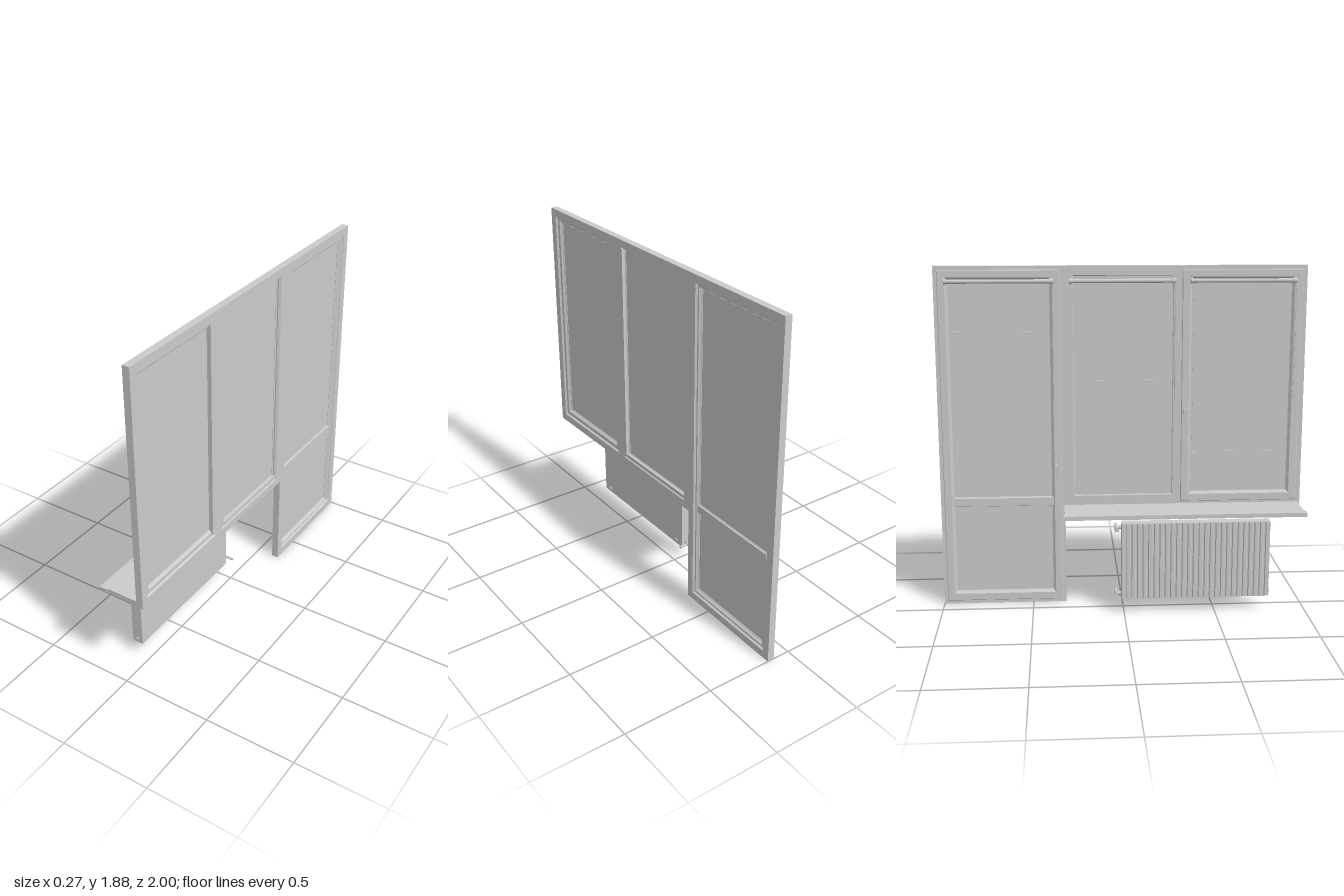
import * as THREE from 'three';

const mat = new THREE.MeshStandardMaterial({ color: 0xcccccc, flatShading: true });
const smooth = new THREE.MeshStandardMaterial({ color: 0xcccccc });
const thin = new THREE.MeshStandardMaterial({ color: 0xcccccc, side: THREE.DoubleSide });

function add(parent, name, geometry, material = mat) {
  const mesh = new THREE.Mesh(geometry, material);
  mesh.name = name;
  parent.add(mesh);
  return mesh;
}

function group(parent, name) {
  const g = new THREE.Group();
  g.name = name;
  parent.add(g);
  return g;
}

// Box given by its limits on each axis
function box(parent, name, x0, x1, y0, y1, z0, z1, material = mat) {
  const m = add(parent, name, new THREE.BoxGeometry(x1 - x0, y1 - y0, z1 - z0), material);
  m.position.set((x0 + x1) / 2, (y0 + y1) / 2, (z0 + z1) / 2);
  return m;
}

// Cylinder along a chosen axis
function rod(parent, name, axis, r, len, x, y, z, sides = 16) {
  const g = new THREE.CylinderGeometry(r, r, len, sides);
  if (axis === 'x') g.rotateZ(Math.PI / 2);
  if (axis === 'z') g.rotateX(Math.PI / 2);
  const m = add(parent, name, g, smooth);
  m.position.set(x, y, z);
  return m;
}

// Mitred rectangular frame: a closed profile of [inset, x] swept round the rectangle
function mitredFrame(parent, name, z0, z1, y0, y1, profile) {
  const corners = [[z0, y0, 1, 1], [z1, y0, -1, 1], [z1, y1, -1, -1], [z0, y1, 1, -1]];
  const pos = [];
  const index = [];
  const n = profile.length;
  for (const [z, y, dz, dy] of corners)
    for (const [inset, x] of profile) pos.push(x, y + dy * inset, z + dz * inset);
  for (let k = 0; k < 4; k++)
    for (let i = 0; i < n; i++) {
      const k2 = (k + 1) % 4, j = (i + 1) % n;
      const a = k * n + i, b = k2 * n + i, c = k2 * n + j, d = k * n + j;
      index.push(a, b, c, a, c, d);
    }
  const g = new THREE.BufferGeometry();
  g.setAttribute('position', new THREE.Float32BufferAttribute(pos, 3));
  g.setIndex(index);
  const flat = g.toNonIndexed();
  flat.computeVertexNormals();
  return add(parent, name, flat);
}

const frameProfile = [[0, 0.134], [0, 0.095], [0.05, 0.095], [0.05, 0.122], [0.042, 0.134]];
const sashProfile = [[0, 0.124], [0, 0.088], [0.003, 0.085], [0.04, 0.085], [0.05, 0.093],
  [0.05, 0.112], [0.04, 0.124]];
const beadProfile = [[0, 0.116], [0, 0.096], [0.006, 0.1], [0.006, 0.112]];

// Glass with its glazing bead
function pane(parent, z0, z1, y0, y1) {
  box(parent, 'glass', 0.102, 0.11, y0, y1, z0, z1);
  mitredFrame(parent, 'glazingBead', z0, z1, y0, y1, beadProfile);
}

function handle(parent, y, z) {
  const h = group(parent, 'handle');
  box(h, 'handlePlate', 0.077, 0.086, y - 0.04, y + 0.025, z - 0.008, z + 0.008);
  rod(h, 'handleSpindle', 'x', 0.007, 0.026, 0.067, y, z);
  box(h, 'handleNeck', 0.048, 0.061, y - 0.008, y + 0.007, z - 0.008, z + 0.013);
  const lever = box(h, 'handleLever', 0.048, 0.057, y - 0.088, y, z - 0.008, z + 0.008);
  lever.rotation.z = 0.03;
}

// Roller blind with its end brackets, hem bar and bead chain loop
function blind(parent, z0, z1, x, bottom) {
  const b = group(parent, 'rollerBlind');
  const y = 1.8, mid = (z0 + z1) / 2;
  rod(b, 'roller', 'z', 0.011, z1 - z0, x, y, mid, 24);
  box(b, 'fabric', x + 0.0085, x + 0.0105, bottom, y, z0 + 0.012, z1 - 0.012, thin);
  box(b, 'hemBar', x + 0.006, x + 0.0125, bottom - 0.006, bottom + 0.006, z0 + 0.012, z1 - 0.012);
  for (const z of [z0, z1]) {
    rod(b, 'endCap', 'z', 0.016, 0.012, x, y, z, 24);
    box(b, 'bracket', x - 0.006, 0.096, y - 0.018, y + 0.03, z - 0.003, z + 0.003);
  }
  const zc = z1 + 0.01;
  rod(b, 'chainWheel', 'z', 0.013, 0.01, x, y, zc, 20);
  const pts = [[0.012, 1.8], [0.009, 1.6], [0.004, 1.35], [-0.001, 1.19], [-0.011, 1.165],
    [-0.021, 1.19], [-0.019, 1.35], [-0.014, 1.6], [-0.012, 1.8], [0, 1.813]]
    .map(([dx, py]) => new THREE.Vector3(x + dx, py, zc));
  const loop = new THREE.CatmullRomCurve3(pts, true);
  add(b, 'chainCord', new THREE.TubeGeometry(loop, 80, 0.001, 5, true), smooth);
  const count = 120;
  const beads = new THREE.SphereGeometry(0.0028, 6, 4);
  for (const p of loop.getSpacedPoints(count).slice(0, count))
    add(b, 'chainBead', beads, smooth).position.copy(p);
}

function radiator(parent) {
  const r = group(parent, 'radiator');
  const z0 = -0.015, z1 = 0.8, y0 = 0.08, y1 = 0.51;
  box(r, 'radiatorBody', -0.1, -0.042, y0, y1, z0, z1);
  // Ribbed room-side panel, cross-section extruded upwards
  const ribs = 26, pitch = (z1 - z0 - 0.02) / ribs;
  const s = new THREE.Shape();
  s.moveTo(-0.098, -z0);
  s.lineTo(-0.106, -z0 - 0.004);
  for (let i = 0; i < ribs; i++) {
    const z = z0 + 0.01 + i * pitch;
    s.lineTo(-0.106, -z - pitch * 0.1);
    s.lineTo(-0.101, -z - pitch * 0.25);
    s.lineTo(-0.101, -z - pitch * 0.45);
    s.lineTo(-0.106, -z - pitch * 0.6);
  }
  s.lineTo(-0.106, -z1 + 0.004);
  s.lineTo(-0.098, -z1);
  const g = new THREE.ExtrudeGeometry(s, { depth: y1 - y0 - 0.006, bevelEnabled: false });
  g.rotateX(-Math.PI / 2);
  add(r, 'ribbedPanel', g).position.y = y0 + 0.003;
  // Connections, plugs and wall brackets
  for (const y of [0.105, 0.485]) {
    rod(r, 'valveStub', 'z', 0.007, 0.03, -0.075, y, z0 - 0.012);
    rod(r, 'valveNut', 'z', 0.012, 0.012, -0.075, y, z0 - 0.008, 6);
    rod(r, 'valveBody', 'x', 0.009, 0.03, -0.075, y, z0 - 0.027);
    rod(r, 'wallPipe', 'x', 0.007, 0.06, -0.041, y, z0 - 0.027);
    rod(r, 'plug', 'z', 0.009, 0.008, -0.075, y, z1 + 0.003);
    for (const z of [0.035, 0.745])
      box(r, 'wallBracket', -0.043, -0.036, y - 0.005, y + 0.005, z - 0.01, z + 0.01);
  }
  rod(r, 'thermostatHead', 'x', 0.014, 0.035, -0.108, 0.485, z0 - 0.027, 20);
}

export function createModel() {
  const model = new THREE.Group();
  model.name = 'balconyWindowAndDoor';

  // Window: outer frame, mullion, opening sash and fixed light
  const win = group(model, 'window');
  mitredFrame(win, 'windowFrame', -0.315, 1, 0.55, 1.88, frameProfile);
  const m = new THREE.Shape([[0.28, 0.615], [0.33, 0.565], [0.38, 0.615], [0.38, 1.83],
    [0.33, 1.879], [0.28, 1.83]].map(([z, y]) => new THREE.Vector2(-z, y)));
  const mg = new THREE.ExtrudeGeometry(m, { depth: 0.038, bevelEnabled: false });
  mg.rotateY(Math.PI / 2);
  add(win, 'mullion', mg).position.x = 0.0955;
  box(win, 'fixedBottomRail', 0.0955, 0.128, 0.59, 0.617, -0.27, 0.29);
  pane(win, -0.266, 0.281, 0.616, 1.832);
  const sash = group(win, 'windowSash');
  mitredFrame(sash, 'sashFrame', 0.325, 0.972, 0.58, 1.86, sashProfile);
  pane(sash, 0.374, 0.923, 0.629, 1.811);
  handle(sash, 1.1, 0.342);

  // Balcony door: outer frame, sash, middle rail and two lights
  const door = group(model, 'door');
  mitredFrame(door, 'doorFrame', -1, -0.315, 0, 1.88, frameProfile);
  const leaf = group(door, 'doorSash');
  mitredFrame(leaf, 'sashFrame', -0.98, -0.333, 0.02, 1.86, sashProfile);
  box(leaf, 'middleRail', 0.087, 0.122, 0.568, 0.612, -0.935, -0.378);
  pane(leaf, -0.931, -0.382, 0.611, 1.811);
  pane(leaf, -0.931, -0.382, 0.069, 0.569);
  handle(leaf, 0.8, -0.36);

  // Roller blinds drawn to different heights
  blind(model, -0.935, -0.38, 0.072, 1.53);
  blind(model, -0.275, 0.275, 0.083, 1.26);
  blind(model, 0.372, 0.925, 0.072, 0.86);

  // Window sill with thicker rounded nose and end caps
  const sill = group(model, 'windowSill');
  box(sill, 'sillBoard', -0.135, 0.13, 0.547, 0.565, -0.32, 0.985);
  rod(sill, 'sillNose', 'y', 0.001, 0.01, -0.13, 0.556, 0.33);
  box(sill, 'sillFront', -0.138, -0.125, 0.543, 0.566, -0.32, 0.985);
  for (const z of [-0.322, 0.988])
    box(sill, 'sillEndCap', -0.138, -0.095, 0.543, 0.566, z - 0.005, z + 0.005);

  radiator(model);
  return model;
}
